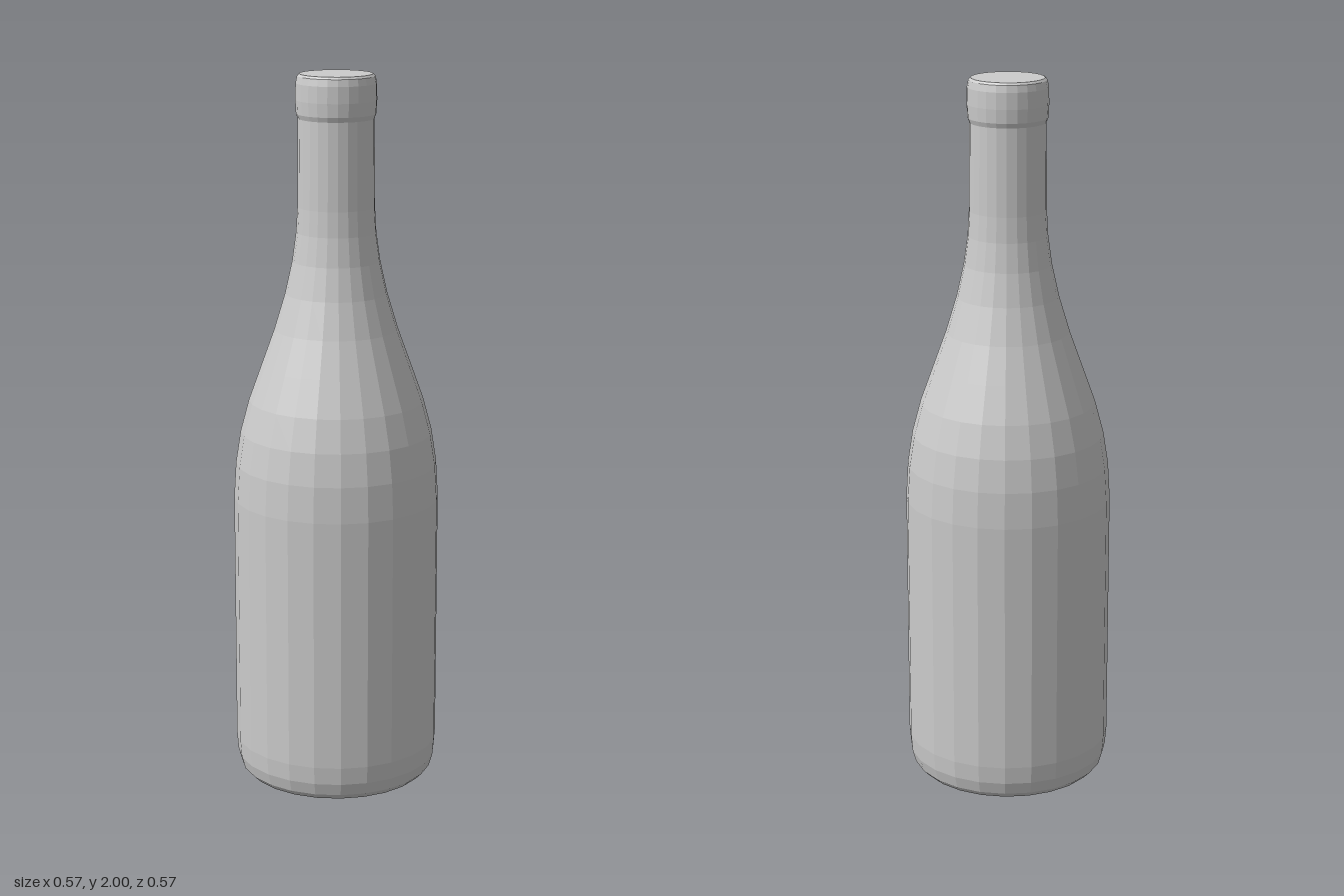
import * as THREE from 'three';

const SIDES = 24;

// Revolve [radius, height] pairs, listed from bottom to top along the outside
function turned(name, profile, material) {
  const points = profile.map(([r, y]) => new THREE.Vector2(r, y));
  const geometry = new THREE.LatheGeometry(points, SIDES, Math.PI / SIDES);
  const mesh = new THREE.Mesh(geometry, material);
  mesh.name = name;
  return mesh;
}

export function createModel() {
  const glass = new THREE.MeshStandardMaterial({ color: 0xcccccc, flatShading: true });
  const bottle = new THREE.Group();
  bottle.name = 'bottle';

  // Hollow under the base, rising to a blunt cone
  bottle.add(turned('basePunt', [
    [0, 0.14], [0.05, 0.13], [0.1, 0.085], [0.15, 0.04], [0.19, 0.012], [0.225, 0],
  ], glass));

  // Rounded heel and straight wall
  bottle.add(turned('body', [
    [0.225, 0], [0.255, 0.007], [0.273, 0.025], [0.283, 0.06], [0.287, 0.11], [0.287, 0.82],
  ], glass));

  // Long shoulder sweeping into the neck
  bottle.add(turned('shoulder', [
    [0.287, 0.82], [0.281, 0.92], [0.267, 1.01], [0.243, 1.1], [0.207, 1.2],
    [0.171, 1.3], [0.141, 1.4], [0.121, 1.49], [0.11, 1.57], [0.106, 1.64],
  ], glass));

  bottle.add(turned('neck', [[0.106, 1.64], [0.104, 1.88]], glass));

  // Raised collar with a softened rim and a closed top
  bottle.add(turned('lip', [
    [0.104, 1.88], [0.109, 1.893], [0.111, 1.93], [0.11, 1.975], [0.106, 1.994], [0.1, 2], [0, 2],
  ], glass));

  return bottle;
}
